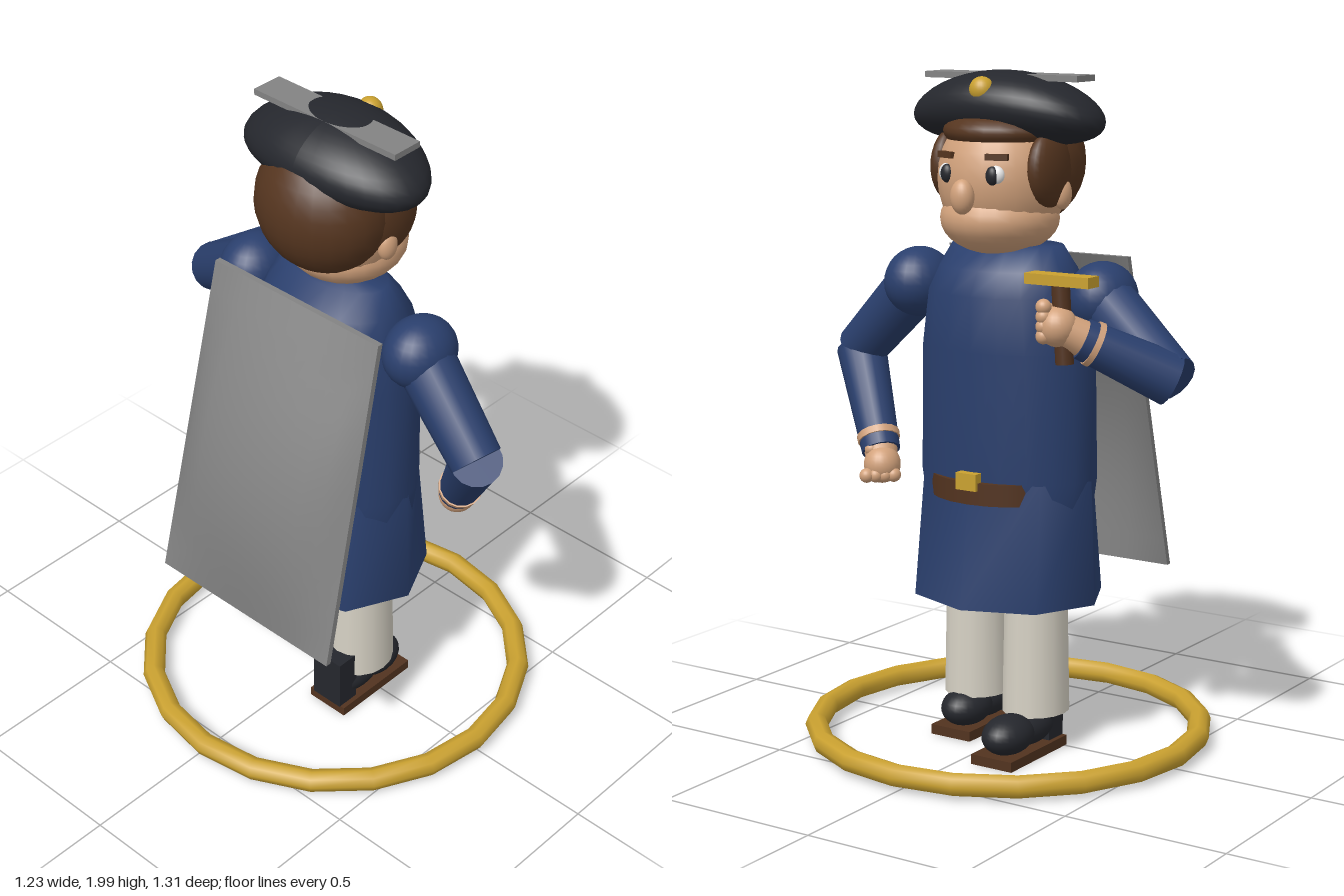
import * as THREE from 'three';

const mat = (name, color) => Object.assign(new THREE.MeshStandardMaterial({ color }), { name });

export function createModel() {
  const navy = mat('navy cloth', 0x2a3f6d), skin = mat('skin', 0xd2a27c), hair = mat('brown hair', 0x55351f);
  const leather = mat('brown leather', 0x52331f), black = mat('black felt', 0x25272d), gold = mat('gold', 0xcaa130);
  const grey = mat('grey', 0x838383), cream = mat('cream cloth', 0xd6d1c4), white = mat('eye white', 0xe8e8e8);
  cream.side = grey.side = navy.side = THREE.DoubleSide;
  const Z = 0.015; // centre line of the figure
  const root = new THREE.Group();
  root.name = 'figure';

  const add = (name, geo, material, pos = [0, 0, 0], parent = root) => {
    const m = new THREE.Mesh(geo, material);
    m.name = name;
    m.position.set(...pos);
    parent.add(m);
    return m;
  };
  const ball = (name, material, pos, radii, parent) => {
    const m = add(name, new THREE.SphereGeometry(1, 24, 16), material, pos, parent);
    m.scale.set(...radii);
    return m;
  };
  const box = (name, material, pos, size, parent) => add(name, new THREE.BoxGeometry(...size), material, pos, parent);
  const limb = (name, material, a, b, ra, rb, parent) => {
    const va = new THREE.Vector3(...a), vb = new THREE.Vector3(...b), d = vb.clone().sub(va);
    const m = add(name, new THREE.CylinderGeometry(rb, ra, d.length(), 16), material,
      va.clone().add(vb).multiplyScalar(0.5).toArray(), parent);
    m.quaternion.setFromUnitVectors(new THREE.Vector3(0, 1, 0), d.normalize());
    return m;
  };
  // Stacked elliptical rings [y, radius x, radius z]
  const loft = (name, material, rings, sides) => {
    const pos = [], idx = [];
    rings.forEach(([y, rx, rz], r) => {
      for (let i = 0; i < sides; i++) {
        const t = (i / sides) * Math.PI * 2;
        pos.push(rx * Math.cos(t), y, Z + rz * Math.sin(t));
        if (r === 0) continue;
        const j = (i + 1) % sides, p = (r - 1) * sides, q = r * sides;
        idx.push(p + i, q + i, p + j, p + j, q + i, q + j);
      }
    });
    const g = new THREE.BufferGeometry();
    g.setAttribute('position', new THREE.Float32BufferAttribute(pos, 3));
    g.setIndex(idx);
    g.computeVertexNormals();
    return add(name, g, material);
  };

  // Base ring
  add('baseRing', new THREE.TorusGeometry(0.58, 0.034, 8, 20).rotateX(Math.PI / 2), gold, [0, 0.042, Z]);

  // Legs and shoes, one foot ahead of the other
  [['rightLeg', 0.14, -0.02, -0.02], ['leftLeg', -0.115, 0.05, 0.14]].forEach(([name, z, legX, footX]) => {
    const g = new THREE.Group();
    g.name = name;
    root.add(g);
    const leg = add('trouser', new THREE.CylinderGeometry(0.09, 0.098, 0.42, 16), cream, [legX, 0.33, z], g);
    leg.scale.x = 1.1;
    box('sole', leather, [footX, 0.017, z], [0.3, 0.03, 0.14], g);
    ball('toe', black, [footX + 0.06, 0.08, z], [0.095, 0.058, 0.07], g);
    ball('instep', black, [footX - 0.04, 0.08, z], [0.11, 0.055, 0.065], g);
    box('heel', black, [footX - 0.115, 0.115, z], [0.075, 0.17, 0.11], g);
  });

  // Coat: smooth torso over an eight-sided flared skirt
  loft('coatTorso', navy, [[0.72, 0.185, 0.27], [0.82, 0.2, 0.283], [1.2, 0.203, 0.275], [1.36, 0.2, 0.25],
    [1.43, 0.16, 0.22], [1.5, 0.098, 0.18], [1.5, 0.001, 0.001]], 20);
  loft('coatSkirt', navy, [[0.45, 0.26, 0.3], [0.82, 0.205, 0.287]], 8);
  const belt = add('belt', new THREE.CylinderGeometry(1, 1, 0.065, 24), leather, [0, 0.79, Z]);
  belt.scale.set(0.22, 1, 0.24);
  box('buckle', gold, [0.212, 0.825, Z], [0.03, 0.05, 0.07]);

  // Head
  const head = new THREE.Group();
  head.name = 'head';
  root.add(head);
  ball('face', skin, [0.03, 1.69, Z], [0.19, 0.21, 0.19], head);
  ball('jaw', skin, [0.045, 1.575, Z], [0.178, 0.107, 0.172], head);
  ball('nose', skin, [0.237, 1.65, Z], [0.032, 0.05, 0.036], head);
  ball('hairBack', hair, [-0.05, 1.735, Z], [0.18, 0.2, 0.205], head);
  ball('fringe', hair, [0.025, 1.825, Z], [0.178, 0.065, 0.175], head);
  [-1, 1].forEach((s) => {
    ball('sideburn', hair, [0.04, 1.72, Z + s * 0.165], [0.1, 0.11, 0.045], head);
    ball('ear', skin, [0.005, 1.65, Z + s * 0.188], [0.032, 0.045, 0.025], head);
    ball('eyeWhite', white, [0.19, 1.712, Z + s * 0.083], [0.018, 0.027, 0.027], head);
    ball('pupil', black, [0.2, 1.71, Z + s * 0.077], [0.016, 0.027, 0.02], head);
    const brow = box('eyebrow', hair, [0.188, 1.762, Z + s * 0.085], [0.022, 0.018, 0.065], head);
    brow.rotation.y = s * -0.35;
  });

  // Hat: broad ellipsoid with drooping ends
  const hatGeo = new THREE.SphereGeometry(1, 32, 20).scale(0.173, 0.108, 0.312);
  const hp = hatGeo.attributes.position;
  for (let i = 0; i < hp.count; i++) {
    hp.setY(i, hp.getY(i) - 0.035 * (hp.getZ(i) / 0.312) ** 2 + 0.08 * hp.getX(i));
  }
  hatGeo.computeVertexNormals();
  add('hat', hatGeo, black, [0, 1.888, Z], head);
  box('hatPlate', grey, [-0.002, 1.978, Z], [0.098, 0.018, 0.52], head);
  ball('hatButton', gold, [0.137, 1.945, Z], [0.035, 0.038, 0.037], head);

  // Arms: shoulder, elbow and wrist points
  [['rightArm', [0, 1.36, 0.335], [-0.04, 1.13, 0.585], [0.1, 0.85, 0.41], [0.122, 0.815, 0.39]],
    ['leftArm', [0, 1.36, -0.305], [0.115, 1.17, -0.6], [0.28, 1.29, -0.41], [0.325, 1.325, -0.36]],
  ].forEach(([name, sh, el, wr, hand]) => {
    const g = new THREE.Group();
    g.name = name;
    root.add(g);
    ball('shoulder', navy, sh, [0.117, 0.105, 0.1], g);
    limb('upperArm', navy, sh, el, 0.088, 0.076, g);
    limb('forearm', navy, el, wr, 0.076, 0.058, g);
    const at = (t) => el.map((v, i) => v + (wr[i] - v) * t);
    limb('cuffBand', skin, at(0.84), at(0.9), 0.065, 0.064, g);
    limb('wrist', skin, at(0.97), hand, 0.052, 0.045, g);
    ball('palm', skin, hand, [0.057, 0.057, 0.055], g);
    // Curled fingers fan across the front of the fist
    const dir = new THREE.Vector3(...hand).sub(new THREE.Vector3(...wr)).normalize();
    const across = new THREE.Vector3(0, 1, 0).cross(dir).normalize();
    if (name === 'leftArm') across.set(0, 1, 0);
    for (let i = 0; i < 4; i++) {
      const p = new THREE.Vector3(...hand).addScaledVector(dir, 0.035).addScaledVector(across, (i - 1.5) * 0.027);
      ball('finger', skin, [p.x + 0.015, p.y, p.z], [0.022, 0.022, 0.022], g);
    }
    ball('thumb', skin, [hand[0] + 0.01, hand[1] + 0.045, hand[2] + 0.03], [0.024, 0.022, 0.022], g);
  });

  // Hand-held T-shaped tool
  limb('toolHandle', leather, [0.312, 1.22, -0.375], [0.312, 1.45, -0.36], 0.026, 0.026);
  box('toolBar', gold, [0.312, 1.452, -0.363], [0.057, 0.03, 0.205]);

  // Slanted back panel, bulging away from the body
  const panel = new THREE.BoxGeometry(0.018, 1, 1, 1, 12, 10);
  const pp = panel.attributes.position;
  for (let i = 0; i < pp.count; i++) {
    const v = pp.getY(i) + 0.5, u = pp.getZ(i) + 0.5;
    const bulge = 0.1 * Math.sin(Math.PI * v) * Math.sqrt(Math.max(0, Math.sin(Math.PI * u)));
    const right = 0.375 - 0.045 * v;
    pp.setXYZ(i, pp.getX(i) - 0.415 + 0.255 * v - bulge, 0.485 + 0.975 * v, -0.298 + (right + 0.298) * u);
  }
  panel.computeVertexNormals();
  add('backPanel', panel, grey);

  return root;
}
